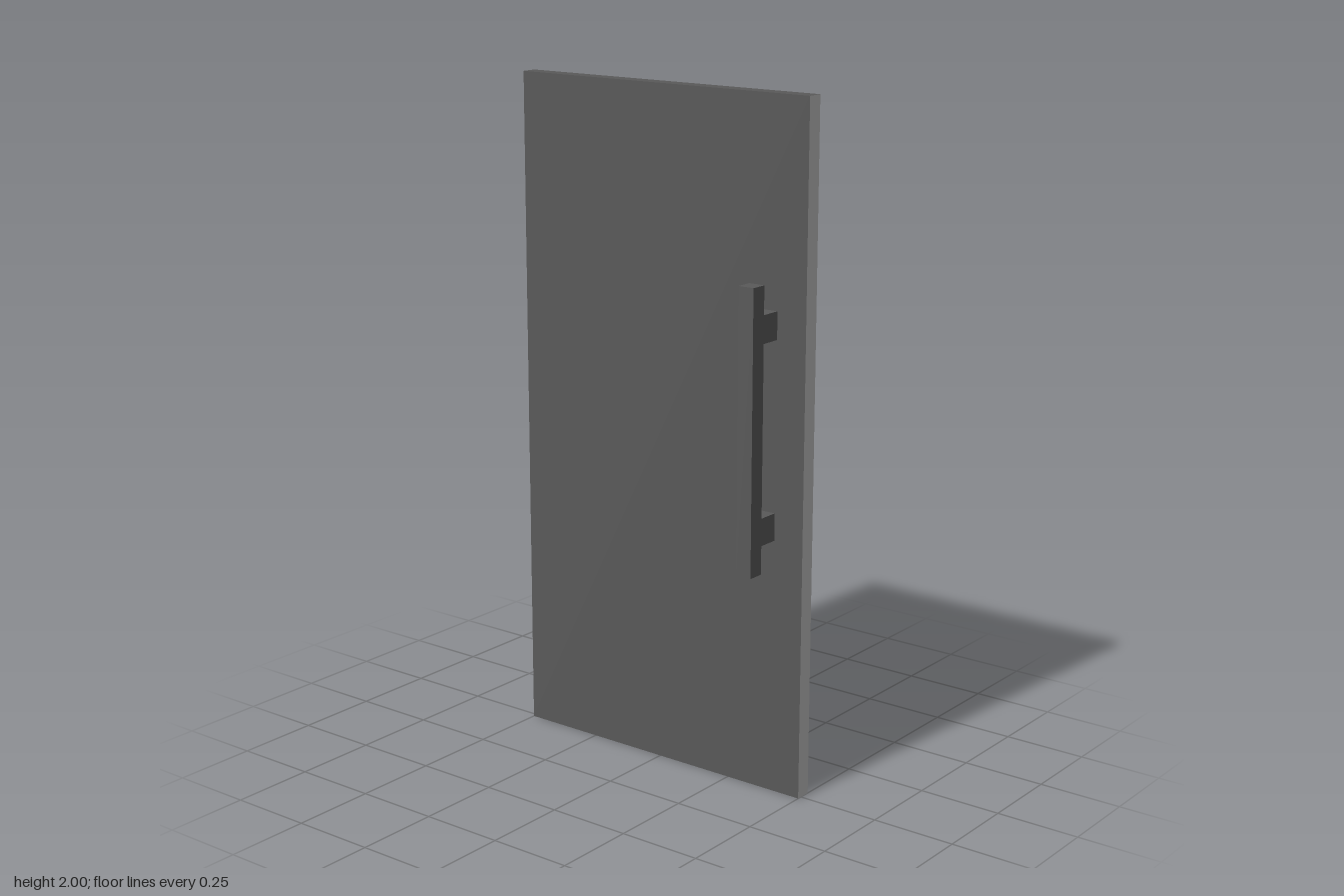
import * as THREE from 'three';

export function createModel() {
  const model = new THREE.Group();
  model.name = 'door';

  const dark = new THREE.MeshStandardMaterial({ color: 0x595959 });
  dark.name = 'dark grey';
  const light = new THREE.MeshStandardMaterial({ color: 0xbababa });
  light.name = 'light grey edge';

  const addBox = (parent, name, size, position, material = dark) => {
    const mesh = new THREE.Mesh(new THREE.BoxGeometry(...size), material);
    mesh.name = name;
    mesh.position.set(...position);
    parent.add(mesh);
  };

  // Door leaf, with a light face on its left (+x) edge only
  const leafZ = -0.01, leafDepth = 0.048;
  addBox(model, 'doorLeaf', [1, 2, leafDepth], [0, 1, leafZ],
    [light, dark, dark, dark, dark, dark]);

  // Pull handle on each face: a long bar on two standoffs
  const handleX = 0.38, width = 0.05, outer = 0.127;
  for (const side of [1, -1]) {
    const handle = new THREE.Group();
    handle.name = side > 0 ? 'frontHandle' : 'backHandle';
    addBox(handle, 'handleBar', [width, 0.82, width],
      [handleX, 1.082, side * (outer - width / 2)]);

    const inner = leafZ + side * leafDepth / 2;
    const reach = side * (outer - width);
    for (const y of [0.795, 1.37]) {
      addBox(handle, 'handleStandoff', [width, 0.08, Math.abs(reach - inner)],
        [handleX, y, (inner + reach) / 2]);
    }
    model.add(handle);
  }
  return model;
}
